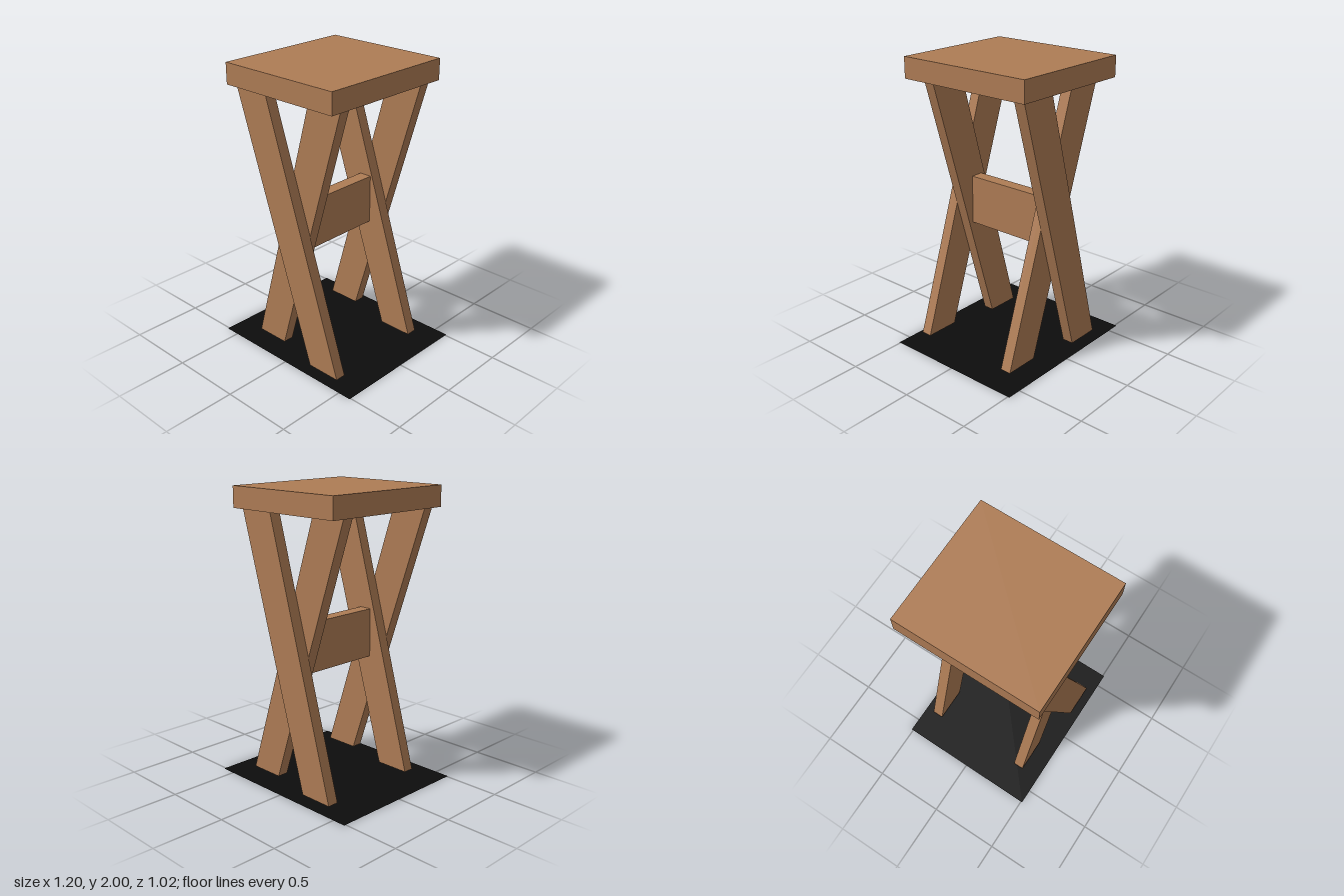
import * as THREE from 'three';

const wood = new THREE.MeshStandardMaterial({ color: 0xae7c55 });
wood.name = 'wood';
const black = new THREE.MeshStandardMaterial({ color: 0x0d0d0d, side: THREE.DoubleSide });
black.name = 'black';

const polygon = (points) => new THREE.Shape(points.map(([x, y]) => new THREE.Vector2(x, y)));

function addMesh(group, name, geometry, material) {
  const mesh = new THREE.Mesh(geometry, material);
  mesh.name = name;
  group.add(mesh);
  return mesh;
}

// Box given by its lower and upper corners
function addBox(group, name, min, max) {
  const size = max.map((v, i) => v - min[i]);
  const mesh = addMesh(group, name, new THREE.BoxGeometry(...size), wood);
  mesh.position.set(...max.map((v, i) => (v + min[i]) / 2));
}

// Slanted board with level ends, between two depths
function addLeg(group, name, outline, back, front) {
  const geometry = new THREE.ExtrudeGeometry(polygon(outline), { depth: front - back, bevelEnabled: false });
  addMesh(group, name, geometry, wood).position.z = back;
}

export function createModel() {
  const stool = new THREE.Group();
  stool.name = 'crossLeggedStool';

  addBox(stool, 'seat', [-0.47, 1.857, -0.485], [0.437, 2, 0.502]);

  // Two crossed pairs of legs, the boards lying side by side
  const fallingRight = [[0.18, 0.03], [0.425, 0.03], [-0.178, 1.857], [-0.44, 1.857]];
  const fallingLeft = [[-0.39, 0.03], [-0.148, 0.03], [0.39, 1.857], [0.127, 1.857]];
  addLeg(stool, 'frontOuterLeg', fallingRight, 0.375, 0.45);
  addLeg(stool, 'frontInnerLeg', fallingLeft, 0.3, 0.375);
  addLeg(stool, 'backInnerLeg', fallingRight, -0.367, -0.29);
  addLeg(stool, 'backOuterLeg', fallingLeft, -0.445, -0.367);

  // Board joining the pairs where they cross
  addBox(stool, 'stretcher', [-0.045, 0.8, -0.29], [0.044, 1.14, 0.3]);

  // Flat ground sheet, very slightly skewed
  const sheet = new THREE.ShapeGeometry(polygon([[-0.603, -0.51], [0.595, -0.51], [0.6, 0.513], [-0.594, 0.513]]));
  addMesh(stool, 'groundSheet', sheet.rotateX(-Math.PI / 2), black);

  return stool;
}
